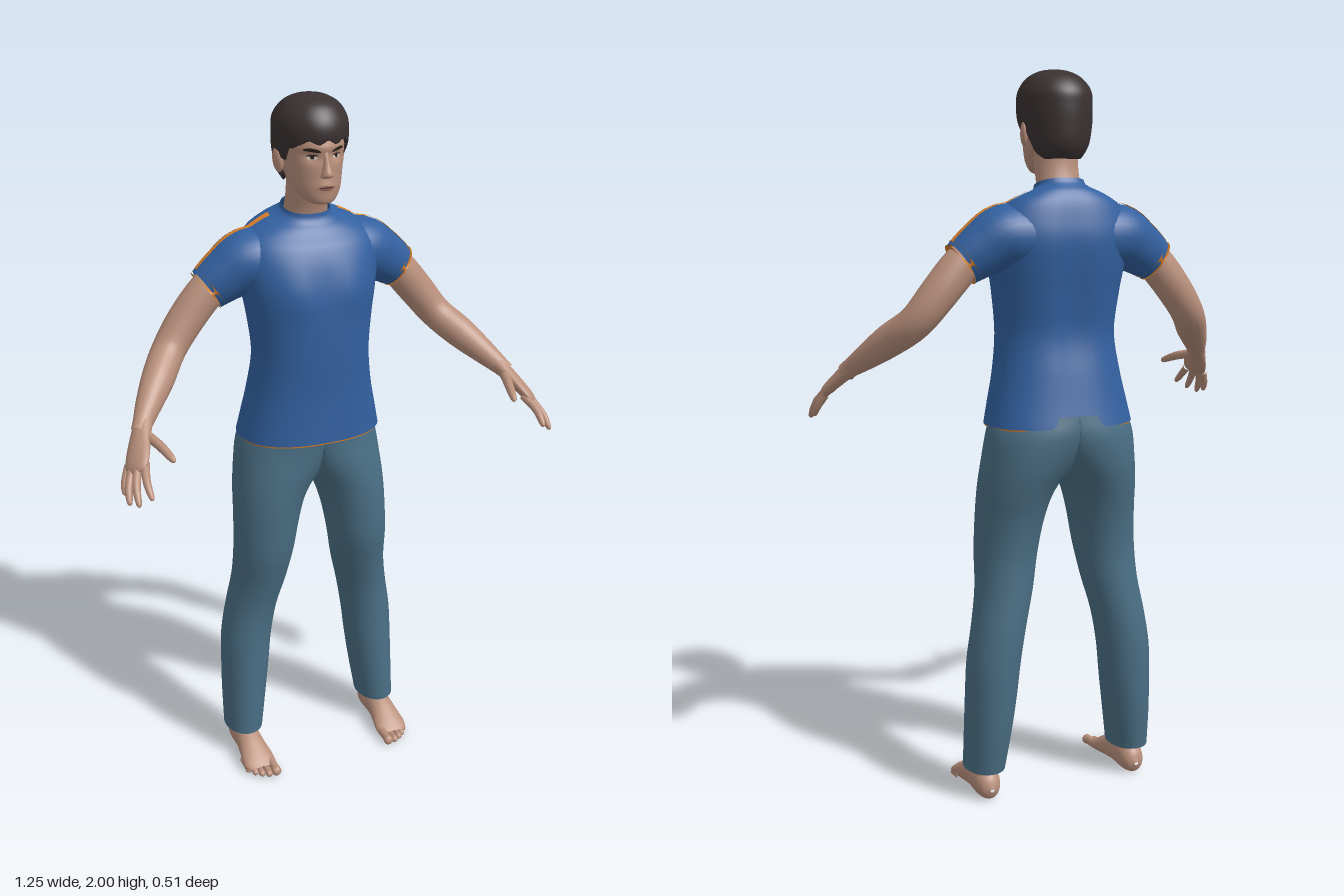
import * as THREE from 'three';

const V = (x, y, z) => new THREE.Vector3(x, y, z);
const UP = V(0, 1, 0), FWD = V(0, 0, 1), SIDE = V(1, 0, 0);

function material(name, color, side = THREE.FrontSide) {
  const m = new THREE.MeshStandardMaterial({ color, side });
  m.name = name;
  return m;
}

// Smooth skin through rows of [x, y, z, ru, rv]. With an axis the rings stay
// square to it, otherwise they follow the path. n > 2 makes rings boxier.
function loft(rows, { axis = null, ref = SIDE, seg = 24, sub = 4, n = 2, rule = null } = {}) {
  const centres = new THREE.CatmullRomCurve3(rows.map(r => V(r[0], r[1], r[2])), false, 'catmullrom');
  const radii = new THREE.CatmullRomCurve3(rows.map(r => V(r[3], r[4], 0)), false, 'catmullrom');
  const count = (rows.length - 1) * sub, pos = [], idx = [];
  const bulge = a => Math.sign(a) * Math.pow(Math.abs(a), 2 / n);
  for (let i = 0; i <= count; i++) {
    const c = centres.getPoint(i / count), r = radii.getPoint(i / count);
    const t = axis || centres.getTangent(i / count);
    const u = ref.clone().addScaledVector(t, -ref.dot(t)).normalize();
    const v = t.clone().cross(u);
    for (let j = 0; j < seg; j++) {
      const a = j / seg * Math.PI * 2;
      const p = c.clone().addScaledVector(u, r.x * bulge(Math.cos(a))).addScaledVector(v, r.y * bulge(Math.sin(a)));
      if (rule) rule(p);
      pos.push(p.x, p.y, p.z);
      if (i < count) {
        const k = i * seg + j, l = i * seg + (j + 1) % seg;
        idx.push(k, l, k + seg, l, l + seg, k + seg);
      }
    }
  }
  const g = new THREE.BufferGeometry();
  g.setAttribute('position', new THREE.Float32BufferAttribute(pos, 3));
  g.setIndex(idx);
  g.computeVertexNormals();
  return g;
}

function mirrored(geo) {
  const g = geo.clone().scale(-1, 1, 1), ix = g.index;
  for (let i = 0; i < ix.count; i += 3) {
    const a = ix.getX(i);
    ix.setX(i, ix.getX(i + 1));
    ix.setX(i + 1, a);
  }
  g.computeVertexNormals();
  return g;
}

// Thin patch laid on a surface: place(u, v) gives the start of each ray.
function drape(targets, dir, nu, nv, lift, place) {
  const g = new THREE.PlaneGeometry(1, 1, nu, nv), p = g.attributes.position;
  const ray = new THREE.Raycaster();
  let last = V(0, 0, 0);
  for (let i = 0; i < p.count; i++) {
    const start = place(p.getX(i) + 0.5, p.getY(i) + 0.5);
    ray.set(start, dir);
    const hit = ray.intersectObjects(targets)[0];
    last = hit ? hit.point.clone() : start.clone().setComponent(dir.y ? 1 : 2, dir.y ? last.y : last.z);
    if (hit) last.addScaledVector(dir, -lift);
    p.setXYZ(i, last.x, last.y, last.z);
  }
  g.computeVertexNormals();
  return g;
}

export function createModel() {
  const model = new THREE.Group();
  model.name = 'standingMan';
  const D = THREE.DoubleSide;
  const skin = material('skin', 0xb88f7b), hair = material('hair', 0x3a3132, D);
  const blue = material('shirtBlue', 0x32609f, D), denim = material('denim', 0x4a6e84, D);
  const orange = material('orangeTrim', 0xd9802a, D), white = material('eyeWhite', 0xcfc6c0, D);
  const dark = material('browBrown', 0x30241f, D), lip = material('lip', 0x99695c, D);

  const add = (name, geo, mat) => {
    const m = new THREE.Mesh(geo, mat);
    m.name = name;
    model.add(m);
    return m;
  };
  const pair = (name, geo, mat) => [add(name + 'Left', geo, mat), add(name + 'Right', mirrored(geo), mat)];

  // Shirt body with chest, spine groove and sloping collar
  const torsoRule = p => {
    const chest = Math.exp(-(((p.y - 1.49) / 0.07) ** 2));
    if (p.z > -0.05) p.z += chest * (0.007 * Math.exp(-(((Math.abs(p.x) - 0.085) / 0.05) ** 2)) - 0.004 * Math.exp(-((p.x / 0.03) ** 2)));
    if (p.z < -0.15) p.z += 0.014 * Math.exp(-((p.x / 0.04) ** 2)) * Math.exp(-(((p.y - 1.38) / 0.2) ** 2));
    p.y -= (p.z + 0.11) * 0.25 * THREE.MathUtils.smoothstep(p.y, 1.6, 1.69);
  };
  const torso = add('shirtBody', loft([
    [0, 1.058, -0.103, 0.208, 0.148], [0, 1.12, -0.097, 0.195, 0.14], [0, 1.2, -0.09, 0.178, 0.132],
    [0, 1.3, -0.08, 0.166, 0.126], [0, 1.4, -0.085, 0.175, 0.132], [0, 1.48, -0.092, 0.188, 0.136],
    [0, 1.55, -0.103, 0.2, 0.13], [0, 1.6, -0.11, 0.195, 0.116], [0, 1.64, -0.115, 0.168, 0.098],
    [0, 1.665, -0.113, 0.125, 0.083], [0, 1.678, -0.112, 0.092, 0.071], [0, 1.69, -0.11, 0.071, 0.062],
    [0, 1.703, -0.108, 0.066, 0.058]], { axis: UP, seg: 48, n: 2.35, rule: torsoRule }), blue);
  add('shirtHem', loft([[0, 1.053, -0.103, 0.205, 0.145], [0, 1.062, -0.103, 0.206, 0.146]],
    { axis: UP, seg: 48, sub: 1, n: 2.35 }), orange);

  // Sleeves, their trim and the shoulder stripe
  const sleeves = pair('sleeve', loft([[0.1, 1.56, -0.12, 0.098, 0.09], [0.17, 1.56, -0.12, 0.094, 0.087],
    [0.23, 1.53, -0.12, 0.074, 0.075], [0.283, 1.495, -0.12, 0.056, 0.062]], { ref: FWD, seg: 32 }), blue);
  pair('sleeveTrim', loft([[0.273, 1.502, -0.12, 0.06, 0.066], [0.287, 1.492, -0.12, 0.057, 0.063]],
    { ref: FWD, seg: 32, sub: 1 }), orange);
  pair('shoulderStripe', drape([torso, sleeves[0]], V(0, -1, 0), 30, 2, 0.003,
    (u, v) => V(0.1 + 0.212 * u, 3, -0.135 + 0.02 * v)), orange);

  // Trousers: two halves meeting on the centre plane
  pair('trouserLeg', loft([
    [0.225, 0.085, -0.1, 0.057, 0.076], [0.216, 0.2, -0.11, 0.065, 0.083], [0.208, 0.3, -0.115, 0.071, 0.084],
    [0.2, 0.4, -0.118, 0.075, 0.083], [0.183, 0.5, -0.115, 0.076, 0.083], [0.162, 0.6, -0.1, 0.08, 0.09],
    [0.15, 0.7, -0.085, 0.087, 0.1], [0.138, 0.8, -0.088, 0.095, 0.11], [0.122, 0.88, -0.098, 0.107, 0.122],
    [0.09, 0.95, -0.108, 0.132, 0.132], [0.04, 1.03, -0.115, 0.172, 0.138], [0, 1.09, -0.108, 0.195, 0.138]],
    { axis: UP, seg: 48, rule: p => { p.x = Math.max(p.x, 0); } }), denim);

  // Bare feet
  const ground = p => { p.y = Math.max(p.y, 0); };
  pair('ankle', loft([[0.226, 0.03, -0.11, 0.036, 0.045], [0.226, 0.08, -0.108, 0.034, 0.043],
    [0.224, 0.16, -0.108, 0.036, 0.045]], { axis: UP }), skin);
  pair('foot', loft([[0.226, 0.035, -0.168, 0.006, 0.006], [0.226, 0.038, -0.155, 0.027, 0.032],
    [0.226, 0.045, -0.12, 0.038, 0.047], [0.226, 0.045, -0.06, 0.038, 0.046], [0.226, 0.037, -0.02, 0.042, 0.039],
    [0.225, 0.024, 0.025, 0.049, 0.026], [0.224, 0.017, 0.05, 0.047, 0.017], [0.22, 0.013, 0.066, 0.036, 0.01]],
    { axis: FWD, rule: ground }), skin);
  [[0.19, 0.104, 0.0145], [0.213, 0.1, 0.0105], [0.232, 0.09, 0.01], [0.249, 0.076, 0.0095], [0.264, 0.056, 0.009]]
    .forEach(([x, z, r], i) => pair('toe' + (i + 1), loft([[x, r + 0.004, z - 0.06, r * 0.9, r], [x, r + 0.002, z - 0.03, r * 0.85, r * 0.9],
      [x, r, z - 0.01, r, r], [x, r * 0.9, z - 0.002, r * 0.65, r * 0.6], [x, r * 0.9, z, 0.001, 0.001]],
      { axis: FWD, seg: 12, sub: 3, rule: ground }), skin));

  // Arms, palms and fingers
  pair('arm', loft([[0.22, 1.54, -0.12, 0.045, 0.05], [0.285, 1.49, -0.12, 0.047, 0.052], [0.35, 1.415, -0.118, 0.049, 0.05],
    [0.405, 1.345, -0.1, 0.047, 0.046], [0.455, 1.295, -0.04, 0.043, 0.045], [0.5, 1.25, 0.015, 0.034, 0.036],
    [0.533, 1.216, 0.06, 0.025, 0.027], [0.548, 1.2, 0.08, 0.024, 0.024]], { ref: FWD }), skin);
  pair('palm', loft([[0.525, 1.225, 0.05, 0.024, 0.024], [0.55, 1.192, 0.092, 0.031, 0.02], [0.57, 1.162, 0.132, 0.037, 0.017],
    [0.582, 1.142, 0.157, 0.034, 0.014], [0.588, 1.132, 0.168, 0.018, 0.007], [0.589, 1.13, 0.17, 0.002, 0.002]],
    { ref: V(-0.5, 0.3, 0.6) }), skin);
  const fingers = {
    indexFinger: [[0.56, 1.15, 0.16], [0.573, 1.123, 0.213], [0.572, 1.09, 0.255]],
    middleFinger: [[0.577, 1.145, 0.153], [0.598, 1.108, 0.203], [0.603, 1.07, 0.24]],
    ringFinger: [[0.588, 1.14, 0.142], [0.611, 1.098, 0.176], [0.618, 1.062, 0.204]],
    littleFinger: [[0.594, 1.135, 0.126], [0.612, 1.1, 0.146], [0.618, 1.072, 0.162]],
    thumb: [[0.535, 1.198, 0.09], [0.515, 1.187, 0.15], [0.497, 1.165, 0.214]],
  };
  for (const [name, pts] of Object.entries(fingers)) {
    const path = new THREE.CatmullRomCurve3(pts.map(p => V(...p))), r = name === 'thumb' ? 0.0125 : 0.0105;
    const rows = [[0, 1.15], [0.3, 1.05], [0.55, 1], [0.8, 0.85], [0.95, 0.6], [1, 0.08]]
      .map(([t, k]) => [...path.getPoint(t).toArray(), r * k, r * k]);
    pair(name, loft(rows, { seg: 12, sub: 2 }), skin);
  }

  // Neck and head with eye sockets and cheekbones
  add('neck', loft([[0, 1.62, -0.125, 0.068, 0.06], [0, 1.69, -0.108, 0.061, 0.054], [0, 1.75, -0.09, 0.06, 0.056],
    [0, 1.82, -0.085, 0.06, 0.06]], { axis: UP }), skin);
  const face = p => {
    if (p.z < -0.03) return;
    const ax = Math.abs(p.x);
    p.z -= 0.009 * Math.exp(-(((ax - 0.034) / 0.018) ** 2) - (((p.y - 1.853) / 0.013) ** 2));
    p.z += 0.004 * Math.exp(-((ax / 0.025) ** 2) - (((p.y - 1.778) / 0.012) ** 2));
    p.z += 0.004 * Math.exp(-((ax / 0.06) ** 2) - (((p.y - 1.876) / 0.01) ** 2));
  };
  const head = add('head', loft([[0, 1.726, -0.005, 0.008, 0.012], [0, 1.731, -0.012, 0.032, 0.037], [0, 1.742, -0.02, 0.047, 0.051],
    [0, 1.765, -0.034, 0.062, 0.067], [0, 1.8, -0.058, 0.074, 0.091], [0, 1.85, -0.075, 0.084, 0.107],
    [0, 1.9, -0.08, 0.088, 0.108], [0, 1.95, -0.08, 0.078, 0.093], [0, 1.98, -0.078, 0.035, 0.045]],
    { axis: UP, seg: 64, sub: 8, rule: face }), skin);
  add('nose', loft([[0, 1.797, 0.022, 0.006, 0.006], [0, 1.803, 0.033, 0.017, 0.015], [0, 1.812, 0.037, 0.015, 0.017],
    [0, 1.835, 0.031, 0.009, 0.013], [0, 1.86, 0.025, 0.008, 0.01], [0, 1.88, 0.022, 0.008, 0.006]], { axis: UP, seg: 20 }), skin);
  const ear = new THREE.SphereGeometry(1, 16, 12).scale(0.01, 0.033, 0.02).rotateX(-0.2).rotateY(-0.3).translate(0.089, 1.833, -0.08);
  pair('ear', ear, skin);

  // Face details: patch centre, size, arch of the middle and tilt outward
  const paint = (cx, cy, w, h, arch, tilt, lift) => drape([head], V(0, 0, -1), 12, 4, lift, (u, v) => {
    const k = 1 - (2 * u - 1) ** 2;
    return V(cx + (u - 0.5) * w, cy + (v - 0.5) * h * Math.sqrt(k) + arch * k + tilt * (u - 0.5), 1);
  });
  pair('eyebrow', paint(0.036, 1.869, 0.042, 0.009, 0.003, 0.006, 0.003), dark);
  pair('eyeWhite', paint(0.034, 1.852, 0.027, 0.01, 0, 0, 0.0015), white);
  pair('iris', paint(0.034, 1.8525, 0.01, 0.01, 0, 0, 0.003), dark);
  pair('eyelid', paint(0.034, 1.856, 0.03, 0.004, 0.002, 0, 0.0035), dark);
  add('lips', paint(0, 1.774, 0.044, 0.014, 0, 0, 0.002), lip);
  add('mouthLine', paint(0, 1.776, 0.042, 0.0025, 0, 0, 0.0035), dark);

  // Short hair, cut to a hairline that dips at the temples and nape
  const line = [[0.05, 1.892], [0, 1.888], [-0.03, 1.87], [-0.045, 1.838], [-0.06, 1.84], [-0.068, 1.862],
    [-0.095, 1.855], [-0.11, 1.785], [-0.13, 1.765], [-0.3, 1.765]];
  const hairline = z => {
    const i = Math.max(1, line.findIndex(q => z >= q[0]));
    return THREE.MathUtils.mapLinear(z, line[i - 1][0], line[i][0], line[i - 1][1], line[i][1]);
  };
  const cut = p => {
    const locks = p.z > -0.02 ? 0.006 * Math.sin(p.x * 130 + 1) : 0;
    const tuft = 1 + 0.012 * Math.sin(p.x * 70 + p.y * 60) * Math.sin(p.z * 60);
    p.x *= tuft;
    p.y = Math.max(p.y, hairline(Math.min(p.z, 0.05)) + locks);
  };
  add('hair', loft([[0, 1.763, -0.115, 0.055, 0.052], [0, 1.8, -0.105, 0.08, 0.083], [0, 1.85, -0.085, 0.094, 0.109],
    [0, 1.9, -0.077, 0.1, 0.118], [0, 1.94, -0.077, 0.096, 0.113], [0, 1.975, -0.075, 0.074, 0.086],
    [0, 1.994, -0.073, 0.04, 0.046], [0, 2, -0.072, 0.002, 0.002]], { axis: UP, seg: 72, sub: 7, rule: cut }), hair);

  return model;
}
